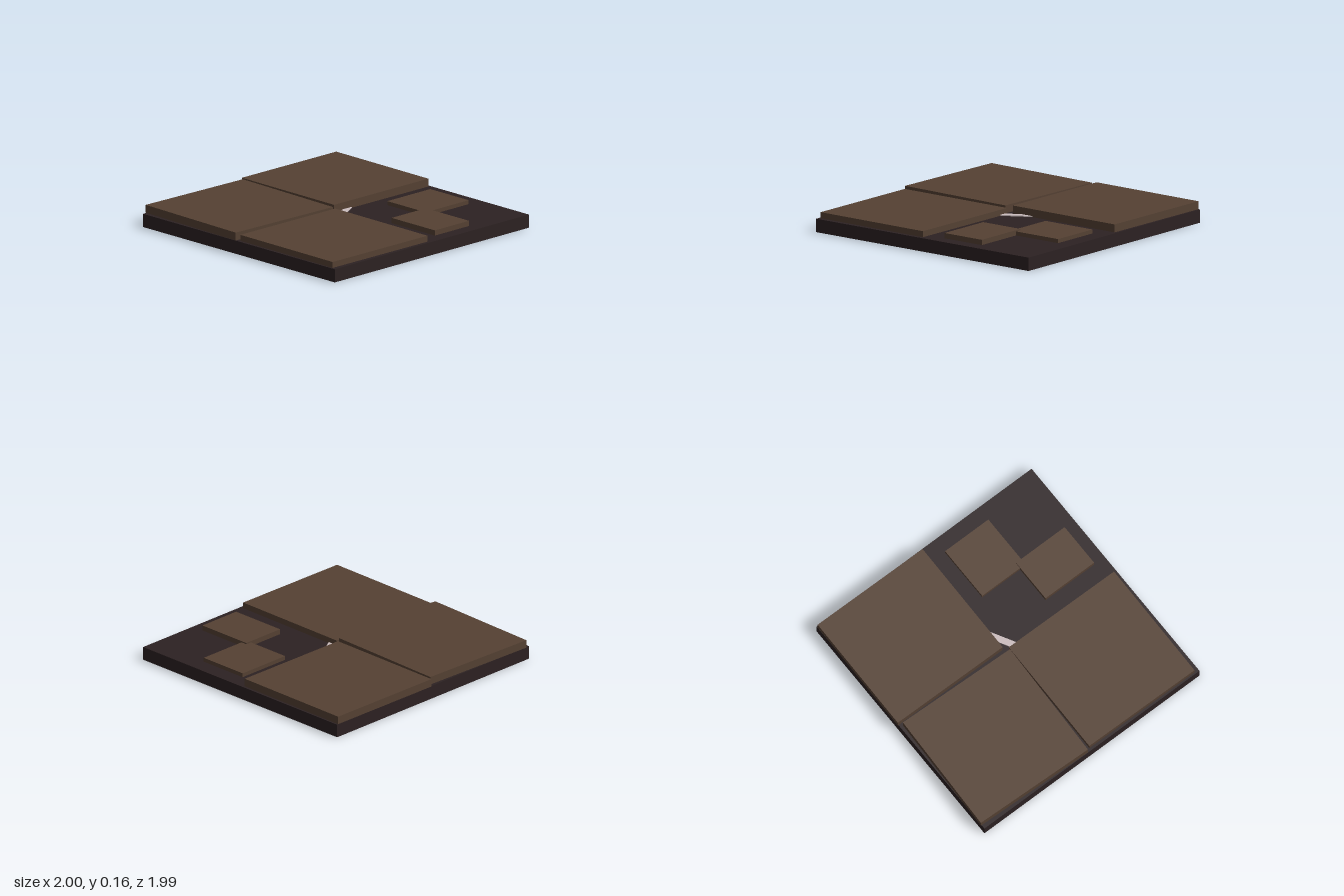
import * as THREE from 'three';

const mat = (name, color, side = THREE.FrontSide) => {
  const m = new THREE.MeshStandardMaterial({ color, side });
  m.name = name;
  return m;
};

export function createModel() {
  const group = new THREE.Group();
  group.name = 'brokenFloorTile';
  const dark = mat('dark mortar', 0x2c2122, THREE.DoubleSide);
  const brown = mat('brown stone', 0x554133);
  const pale = mat('pale splinter', 0xcbbdbe);

  // Box standing on y0, reaching y1, turned about the vertical
  const slab = (name, material, [x, z], [w, d], y0, y1, turn = 0) => {
    const mesh = new THREE.Mesh(new THREE.BoxGeometry(w, y1 - y0, d), material);
    mesh.name = name;
    mesh.position.set(x, (y0 + y1) / 2, z);
    mesh.rotation.y = turn;
    group.add(mesh);
    return mesh;
  };

  // Base slab: a thin shell with an open underside
  const base = slab('base', dark, [0.003, 0], [1.99, 1.99], 0, 0.1);
  const index = Array.from(base.geometry.index.array);
  index.splice(18, 6); // leave out the bottom face
  base.geometry.setIndex(index);
  base.geometry.clearGroups();

  // Three whole paving stones, laid slightly askew
  slab('backStone', brown, [-0.512, -0.5], [0.965, 0.96], 0.1005, 0.16, -0.008);
  slab('frontStone', brown, [-0.5, 0.495], [0.967, 0.965], 0.1005, 0.16, -0.033);
  slab('lowStone', brown, [0.483, 0.495], [0.967, 0.965], 0.099, 0.145, -0.009);

  // Two small fragments in the bare corner
  slab('largeFragment', brown, [0.3, -0.65], [0.4, 0.44], 0.099, 0.13);
  slab('smallFragment', brown, [0.675, -0.303], [0.45, 0.35], 0.1005, 0.14);

  // Thin splinter showing in the gap between the stones
  slab('splinter', pale, [-0.134, -0.33], [0.05, 0.8], 0.1005, 0.108, 0.513);

  return group;
}
